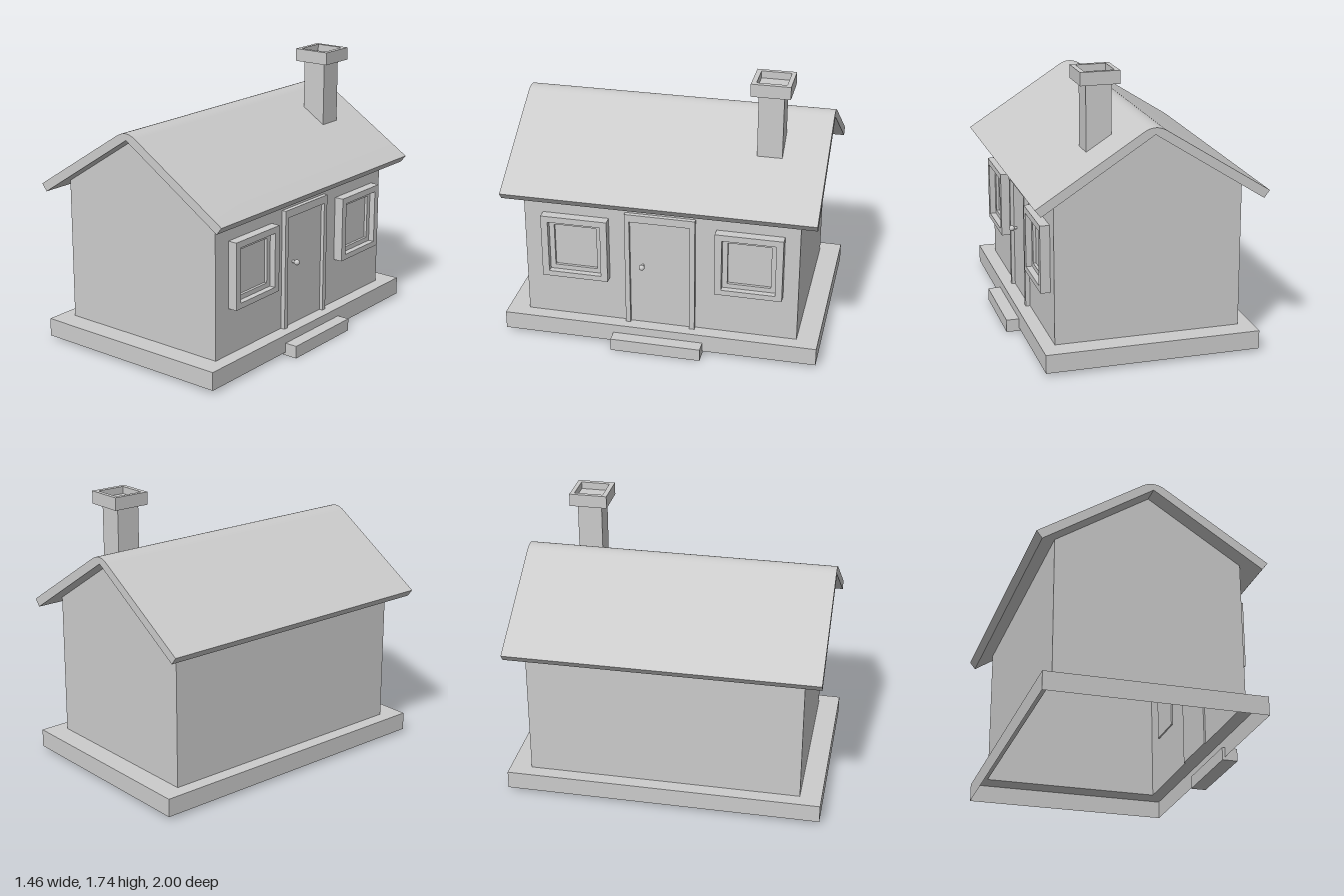
import * as THREE from 'three';
import { toCreasedNormals } from 'three/addons/utils/BufferGeometryUtils.js';

const CX = -0.0175; // centre line of the house
const WALL = 0.56; // door side wall surface
const grey = new THREE.MeshStandardMaterial({ color: 0xcccccc });
const shell = new THREE.MeshStandardMaterial({ color: 0xcccccc, side: THREE.DoubleSide });

function mesh(name, geometry, parent, material = grey) {
  const m = new THREE.Mesh(geometry, material);
  m.name = name;
  parent.add(m);
  return m;
}

// box given by its limits
function box(name, parent, x0, x1, y0, y1, z0, z1) {
  const m = mesh(name, new THREE.BoxGeometry(x1 - x0, y1 - y0, z1 - z0), parent);
  m.position.set((x0 + x1) / 2, (y0 + y1) / 2, (z0 + z1) / 2);
  return m;
}

function rect(x0, x1, y0, y1, Type = THREE.Shape) {
  const s = new Type();
  s.moveTo(x0, y0).lineTo(x1, y0).lineTo(x1, y1).lineTo(x0, y1).closePath();
  return s;
}

function frameShape(outer, inner) {
  const s = rect(...outer);
  s.holes.push(rect(...inner, THREE.Path));
  return s;
}

// frame on the door wall; limits are [z0, z1, y0, y1]
function wallFrame(name, parent, outer, inner, depth) {
  const flip = ([z0, z1, y0, y1]) => [-z1, -z0, y0, y1];
  const g = new THREE.ExtrudeGeometry(frameShape(flip(outer), flip(inner)), { depth, bevelEnabled: false });
  g.rotateY(Math.PI / 2); // shape x becomes -z, depth becomes +x
  mesh(name, g, parent).position.x = WALL;
}

// upright rectangular sheet facing along x or z
function sheet(name, parent, width, height, x, y, z, turn) {
  const m = mesh(name, new THREE.PlaneGeometry(width, height), parent, shell);
  m.position.set(x, y, z);
  m.rotation.y = turn;
}

// flat ring facing up; limits are [x0, x1, z0, z1]
function ringTop(name, parent, outer, inner, y) {
  const flip = ([x0, x1, z0, z1]) => [x0, x1, -z1, -z0];
  const g = new THREE.ShapeGeometry(frameShape(flip(outer), flip(inner)));
  g.rotateX(-Math.PI / 2);
  mesh(name, g, parent, shell).position.y = y;
}

export function createModel() {
  const house = new THREE.Group();
  house.name = 'house';

  // foundation: a skirt with a ledge, open below
  const base = new THREE.Group();
  base.name = 'foundation';
  house.add(base);
  const bx = 0.665, by = 0.0775, bh = 0.115;
  for (const s of [1, -1]) {
    sheet('foundationSide', base, 2, bh, CX + s * bx, by, 0, s * Math.PI / 2);
    sheet('foundationEnd', base, 2 * bx, bh, CX, by, s, s > 0 ? 0 : Math.PI);
  }
  ringTop('foundationLedge', base, [CX - bx, CX + bx, -1, 1], [-0.595, WALL, -0.865, 0.865], 0.135);

  // hollow walls with gable ends
  const walls = new THREE.Group();
  walls.name = 'walls';
  house.add(walls);
  const gable = new THREE.Shape();
  gable.moveTo(-0.5775, 0.135).lineTo(0.5775, 0.135).lineTo(0.5775, 1.034)
    .lineTo(0, 1.405).lineTo(-0.5775, 1.034).closePath();
  for (const s of [1, -1]) {
    const end = mesh('gableWall', new THREE.ShapeGeometry(gable), walls, shell);
    end.position.set(CX, 0, s * 0.865);
    end.rotation.y = s > 0 ? 0 : Math.PI;
    sheet('sideWall', walls, 1.73, 0.899, CX + s * 0.5775, 0.5845, 0, s * Math.PI / 2);
  }

  // roof slab with a rounded ridge
  const profile = new THREE.Shape();
  profile.moveTo(-0.6775, 0.97).lineTo(0, 1.405).lineTo(0.6775, 0.97).lineTo(0.7125, 1.015)
    .lineTo(0.07, 1.424).quadraticCurveTo(0, 1.468, -0.07, 1.424)
    .lineTo(-0.7125, 1.015).closePath();
  const roof = new THREE.ExtrudeGeometry(profile, { depth: 1.95, bevelEnabled: false, curveSegments: 10 });
  mesh('roof', toCreasedNormals(roof, 0.5), house).position.set(CX, 0, -0.975);

  // chimney with a recessed cap
  const chimney = new THREE.Group();
  chimney.name = 'chimney';
  house.add(chimney);
  box('chimneyShaft', chimney, 0.165, 0.32, 1.22, 1.67, -0.702, -0.547);
  box('chimneyCapFloor', chimney, 0.13, 0.36, 1.66, 1.695, -0.74, -0.51);
  const cap = new THREE.ExtrudeGeometry(
    frameShape([0.125, 0.365, 0.505, 0.745], [0.152, 0.335, 0.535, 0.718]),
    { depth: 0.08, bevelEnabled: false });
  cap.rotateX(-Math.PI / 2);
  mesh('chimneyCap', cap, chimney).position.y = 1.66;

  // door, its surround, knob and step
  const door = new THREE.Group();
  door.name = 'door';
  house.add(door);
  const surround = new THREE.Shape();
  surround.moveTo(-0.22, 0.135).lineTo(-0.19, 0.135).lineTo(-0.19, 0.855).lineTo(0.19, 0.855)
    .lineTo(0.19, 0.135).lineTo(0.222, 0.135).lineTo(0.222, 0.905).lineTo(-0.22, 0.905).closePath();
  const surroundGeo = new THREE.ExtrudeGeometry(surround, { depth: 0.028, bevelEnabled: false });
  surroundGeo.rotateY(Math.PI / 2);
  mesh('doorFrame', surroundGeo, door).position.x = WALL;
  box('doorPanel', door, 0.55, 0.565, 0.135, 0.855, -0.19, 0.19);
  const stem = mesh('doorKnobStem', new THREE.CylinderGeometry(0.009, 0.009, 0.03, 12), door);
  stem.rotation.z = Math.PI / 2;
  stem.position.set(0.578, 0.548, 0.11);
  mesh('doorKnob', new THREE.SphereGeometry(0.018, 16, 12), door).position.set(0.597, 0.548, 0.11);
  box('doorStep', house, 0.63, 0.728, 0, 0.08, -0.285, 0.288);

  // two windows with stepped frames
  for (const z of [0.535, -0.561]) {
    const win = new THREE.Group();
    win.name = 'window';
    house.add(win);
    wallFrame('windowFrame', win, [z - 0.21, z + 0.21, 0.43, 0.85], [z - 0.167, z + 0.167, 0.465, 0.81], 0.06);
    wallFrame('windowSash', win, [z - 0.17, z + 0.17, 0.46, 0.815], [z - 0.135, z + 0.135, 0.495, 0.78], 0.022);
    box('windowPane', win, 0.55, 0.564, 0.49, 0.785, z - 0.14, z + 0.14);
  }

  return house;
}
